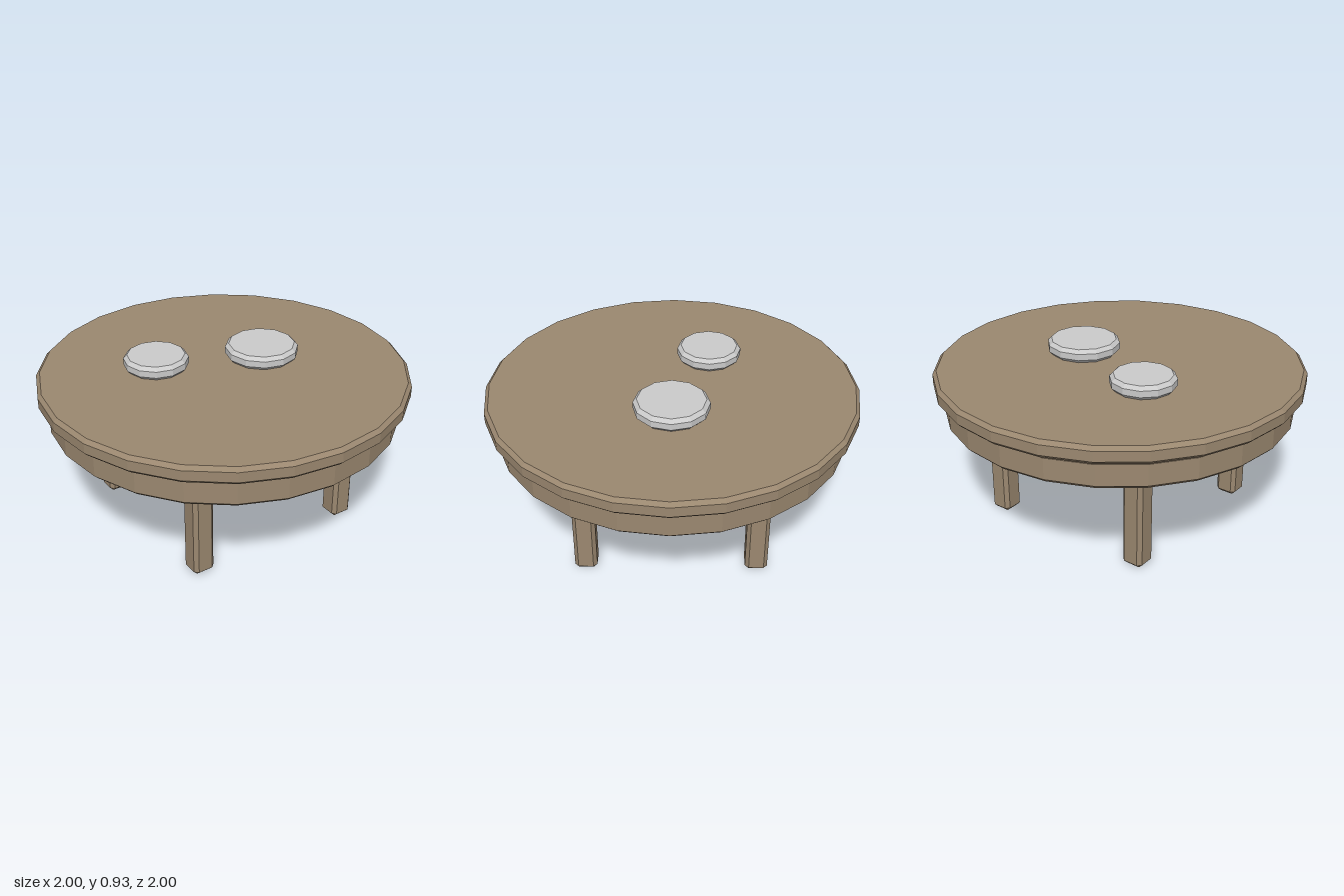
import * as THREE from 'three';
import { ConvexGeometry } from 'three/addons/geometries/ConvexGeometry.js';

const wood = new THREE.MeshStandardMaterial({ color: 0x9b8870, flatShading: true });
const grey = new THREE.MeshStandardMaterial({ color: 0xcccccc, flatShading: true });

// Faceted disc with chamfered rims, standing from y0 to y1
function chamferedDisc(name, radius, y0, y1, bevel, sides, material) {
  const profile = [
    [0, y0], [radius - bevel, y0], [radius, y0 + bevel],
    [radius, y1 - bevel], [radius - bevel, y1], [0, y1],
  ].map(([r, y]) => new THREE.Vector2(r, y));
  const mesh = new THREE.Mesh(new THREE.LatheGeometry(profile, sides), material);
  mesh.name = name;
  return mesh;
}

// Box with every edge chamfered
function chamferedBox(w, h, d, bevel) {
  const half = [w / 2, h / 2, d / 2];
  const points = [];
  for (const sx of [-1, 1]) for (const sy of [-1, 1]) for (const sz of [-1, 1]) {
    for (let full = 0; full < 3; full++) {
      const p = [sx, sy, sz].map((s, i) => s * (half[i] - (i === full ? 0 : bevel)));
      points.push(new THREE.Vector3(...p));
    }
  }
  return new THREE.BufferGeometry().copy(new ConvexGeometry(points));
}

export function createModel() {
  const table = new THREE.Group();
  table.name = 'roundTable';

  // Top and the slightly narrower apron beneath it
  table.add(chamferedDisc('tableTop', 1, 0.76, 0.855, 0.02, 24, wood));
  table.add(chamferedDisc('apron', 0.95, 0.605, 0.76, 0.02, 24, wood));

  // Four square legs
  const legGeometry = chamferedBox(0.12, 0.64, 0.12, 0.02);
  for (const [side, x] of [['Left', 0.46], ['Right', -0.46]]) {
    for (const [end, z] of [['front', 0.46], ['back', -0.46]]) {
      const leg = new THREE.Mesh(legGeometry, wood);
      leg.name = `${end}${side}Leg`;
      leg.position.set(x, 0.32, z);
      table.add(leg);
    }
  }

  // Two plates lying on the top
  const largePlate = chamferedDisc('largePlate', 0.2, 0.855, 0.93, 0.02, 12, grey);
  largePlate.position.set(0.25, 0, 0);
  const smallPlate = chamferedDisc('smallPlate', 0.175, 0.855, 0.93, 0.02, 12, grey);
  smallPlate.position.set(-0.3, 0, -0.2);
  table.add(largePlate, smallPlate);

  return table;
}
